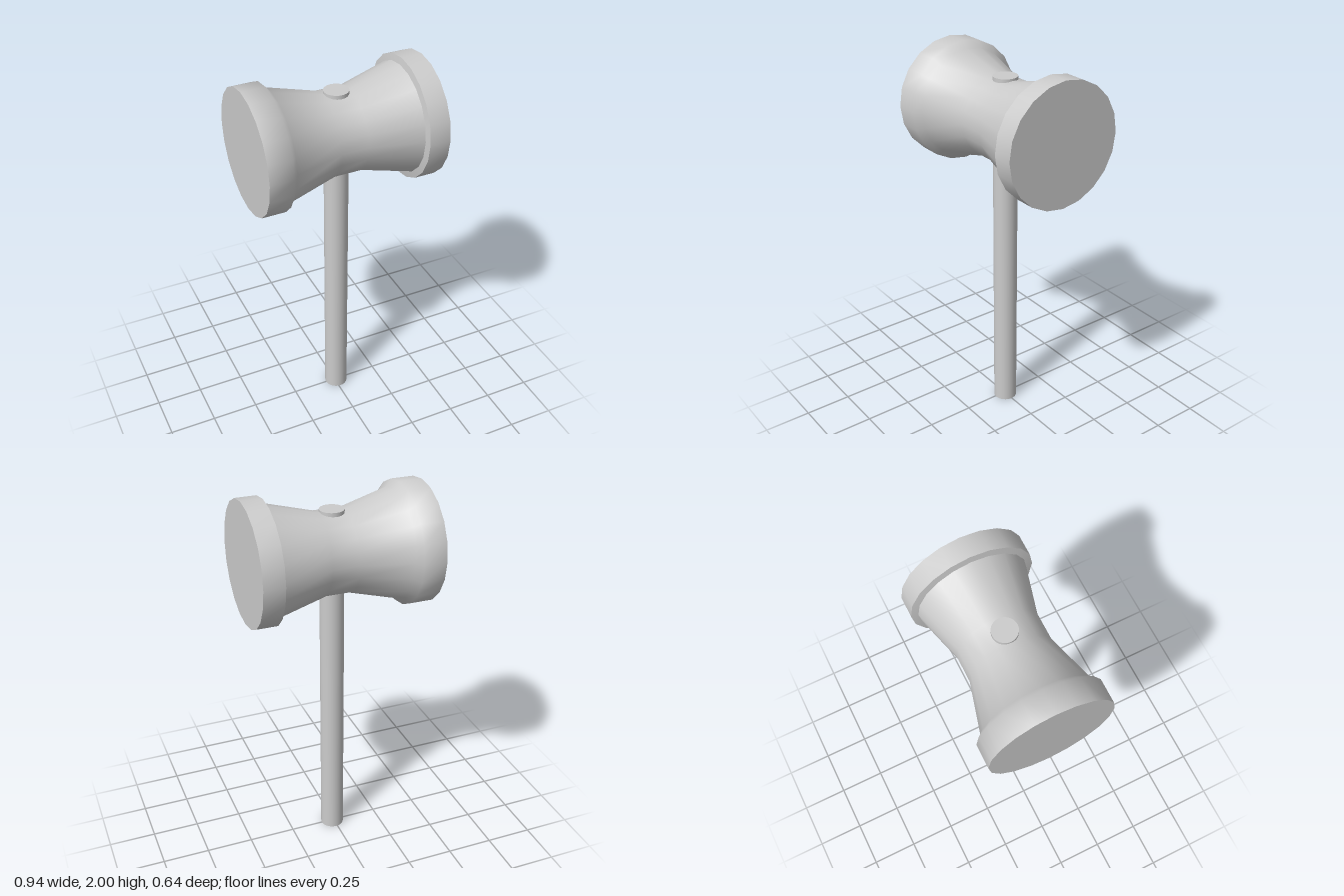
import * as THREE from 'three';
import { toCreasedNormals } from 'three/addons/utils/BufferGeometryUtils.js';

export function createModel() {
  const model = new THREE.Group();
  model.name = 'mallet';
  const material = new THREE.MeshStandardMaterial({ color: 0xcccccc });

  // Turned head: [radius, position along x], pinched at the waist, a lip at each end
  const profile = [
    [0, -0.468], [0.319, -0.468], [0.319, -0.345], [0.284, -0.317], [0.214, -0.058],
    [0.214, 0.086], [0.284, 0.35], [0.319, 0.357], [0.319, 0.467], [0, 0.467],
  ].map(([r, x]) => new THREE.Vector2(r, x));
  const headGeometry = new THREE.LatheGeometry(profile, 20).rotateZ(-Math.PI / 2);
  const head = new THREE.Mesh(toCreasedNormals(headGeometry, 1.0), material);
  head.name = 'head';
  head.position.y = 1.68;
  head.rotation.z = 0.006; // barely tilted on the handle
  model.add(head);

  // Round handle, passing through the head and showing on top
  const length = 1.905;
  const handle = new THREE.Mesh(new THREE.CylinderGeometry(0.063, 0.063, length, 32), material);
  handle.name = 'handle';
  handle.position.set(0.009, length / 2, 0);
  model.add(handle);

  return model;
}
